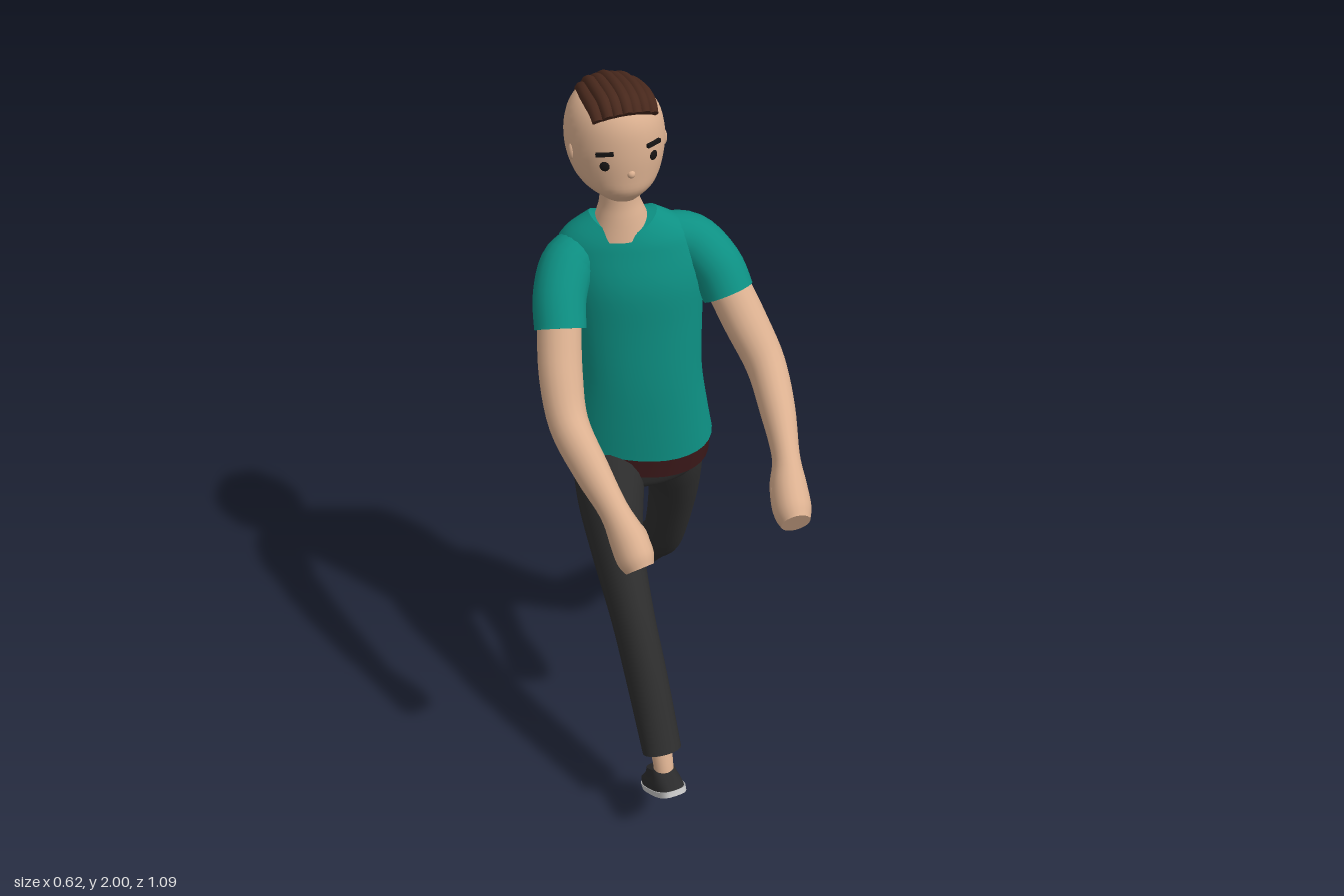
import * as THREE from 'three';

const mat = (name, color) => {
  const m = new THREE.MeshStandardMaterial({ color });
  m.name = name;
  return m;
};

// Component-wise Catmull-Rom resampling of section rows
function resample(rows, steps) {
  const out = [];
  for (let i = 0; i < rows.length - 1; i++) {
    const a = rows[Math.max(i - 1, 0)], b = rows[i], c = rows[i + 1], d = rows[Math.min(i + 2, rows.length - 1)];
    for (let s = 0; s < steps; s++) {
      const t = s / steps;
      out.push(b.map((_, k) => 0.5 * (2 * b[k] + (c[k] - a[k]) * t + (2 * a[k] - 5 * b[k] + 4 * c[k] - d[k]) * t * t
        + (3 * b[k] - a[k] - 3 * c[k] + d[k]) * t * t * t)));
    }
  }
  out.push(rows[rows.length - 1]);
  return out;
}

// Skin a list of rings (arrays of Vector3, counter-clockwise about the path), closing both ends
function loft(rings) {
  const n = rings[0].length, pos = [], idx = [];
  rings.forEach(r => r.forEach(p => pos.push(p.x, p.y, p.z)));
  for (let i = 0; i < rings.length - 1; i++) {
    for (let j = 0; j < n; j++) {
      const a = i * n + j, b = i * n + (j + 1) % n;
      idx.push(a, b, b + n, a, b + n, a + n);
    }
  }
  [[rings[0], true], [rings[rings.length - 1], false]].forEach(([ring, flip]) => {
    const base = pos.length / 3, c = new THREE.Vector3();
    ring.forEach(p => { pos.push(p.x, p.y, p.z); c.addScaledVector(p, 1 / n); });
    pos.push(c.x, c.y, c.z);
    for (let j = 0; j < n; j++) {
      const a = base + j, b = base + (j + 1) % n;
      idx.push(...(flip ? [b, a, base + n] : [a, b, base + n]));
    }
  });
  const g = new THREE.BufferGeometry();
  g.setAttribute('position', new THREE.Float32BufferAttribute(pos, 3));
  g.setIndex(idx);
  g.computeVertexNormals();
  return g;
}

// Limb: rows of [x, y, z, side radius, depth radius], rings square to the path
function limb(rows, ref = [1, 0, 0], steps = 5, n = 20) {
  const s = resample(rows, steps), P = s.map(r => new THREE.Vector3(r[0], r[1], r[2]));
  return loft(s.map((r, i) => {
    const t = P[Math.min(i + 1, P.length - 1)].clone().sub(P[Math.max(i - 1, 0)]).normalize();
    const u = new THREE.Vector3(...ref);
    u.addScaledVector(t, -u.dot(t)).normalize();
    const v = t.clone().cross(u);
    return Array.from({ length: n }, (_, j) => {
      const a = j / n * Math.PI * 2;
      return P[i].clone().addScaledVector(u, r[3] * Math.cos(a)).addScaledVector(v, r[4] * Math.sin(a));
    });
  }));
}

// Stack: rows of [y, centre x, centre z, half width, half depth, yaw, back-up tilt, front/back sag], rings level
function stack(rows, steps = 4, n = 36, power = 1) {
  const sgn = x => Math.sign(x) * Math.abs(x) ** power;
  return loft(resample(rows, steps).map(([y, cx, cz, rx, rz, w = 0, tilt = 0, sag = 0]) =>
    Array.from({ length: n }, (_, j) => {
      const t = j / n * Math.PI * 2, a = rx * sgn(Math.cos(t)), b = -rz * sgn(Math.sin(t));
      const z = a * Math.sin(w) + b * Math.cos(w);
      return new THREE.Vector3(cx + a * Math.cos(w) - b * Math.sin(w), y - tilt * z + sag * Math.cos(2 * t), cz + z);
    })));
}

export function createModel() {
  const skin = mat('skin', 0xdbb090), teal = mat('shirt teal', 0x0d9083), dark = mat('trouser charcoal', 0x2d2d2d),
    red = mat('belt maroon', 0x3a1819), brown = mat('hair brown', 0x48281c), shoeMat = mat('shoe grey', 0x2b2b2c),
    soleMat = mat('sole light grey', 0xc4c4c4), black = mat('eye black', 0x161414);
  const model = new THREE.Group();
  const add = (name, geo, m, parent = model) => {
    const mesh = new THREE.Mesh(geo, m);
    mesh.name = name;
    parent.add(mesh);
    return mesh;
  };
  const ball = (name, m, p, s, parent) => {
    const b = add(name, new THREE.SphereGeometry(1, 16, 12), m, parent);
    b.position.set(...p);
    b.scale.set(...s);
    return b;
  };

  // Shirt body, turned so its left side leads, with a dipped collar
  add('shirt', stack([
    [0.99, 0.02, -0.086, 0.2, 0.134, 0.38, 0.29, 0],
    [1.08, 0.015, -0.075, 0.184, 0.126, 0.36, 0.2, 0],
    [1.2, 0.01, -0.06, 0.166, 0.113, 0.34, 0.1, 0],
    [1.35, 0.005, -0.06, 0.169, 0.106, 0.33, 0, 0],
    [1.47, 0, -0.065, 0.177, 0.105, 0.32, 0, 0],
    [1.56, -0.01, -0.075, 0.178, 0.09, 0.3, 0, 0],
    [1.6, -0.015, -0.075, 0.15, 0.08, 0.28, 0, 0.008],
    [1.635, -0.025, -0.073, 0.084, 0.066, 0.25, 0, 0.018],
  ], 4, 36, 0.95), teal);

  // Belt and trouser seat
  add('belt', stack([
    [0.932, 0.02, -0.086, 0.192, 0.13, 0.38, 0.29],
    [0.992, 0.02, -0.086, 0.197, 0.132, 0.38, 0.29],
  ], 1, 36, 0.95), red);
  add('trouserSeat', stack([
    [0.825, 0.012, -0.07, 0.03, 0.05, 0, 0],
    [0.85, 0.015, -0.078, 0.1, 0.09, 0.1, 0.1],
    [0.89, 0.015, -0.085, 0.17, 0.122, 0.25, 0.2],
    [0.95, 0.02, -0.086, 0.192, 0.13, 0.38, 0.29],
  ], 4, 36, 0.95), dark);

  // Trouser legs: right one strides forward, left one trails
  add('rightTrouserLeg', limb([
    [-0.072, 0.9, -0.07, 0.1, 0.105], [-0.098, 0.82, 0, 0.087, 0.108], [-0.118, 0.72, 0.09, 0.069, 0.092],
    [-0.13, 0.59, 0.215, 0.057, 0.076], [-0.131, 0.45, 0.308, 0.055, 0.068], [-0.132, 0.268, 0.415, 0.053, 0.051],
  ]), dark);
  add('leftTrouserLeg', limb([
    [0.105, 0.91, -0.095, 0.095, 0.122], [0.126, 0.82, -0.108, 0.086, 0.108], [0.147, 0.69, -0.132, 0.067, 0.082],
    [0.157, 0.47, -0.208, 0.057, 0.066], [0.162, 0.36, -0.298, 0.056, 0.06], [0.164, 0.205, -0.425, 0.054, 0.053],
  ]), dark);
  add('rightAnkle', limb([[-0.133, 0.3, 0.4, 0.032, 0.032], [-0.134, 0.22, 0.43, 0.027, 0.027], [-0.135, 0.15, 0.44, 0.03, 0.03]]), skin);
  add('leftAnkle', limb([[0.163, 0.22, -0.41, 0.034, 0.034], [0.163, 0.17, -0.465, 0.028, 0.028], [0.163, 0.11, -0.49, 0.03, 0.03]]), skin);

  // Shoes: right heel planted, left heel raised
  [['right', [-0.135, 0.137, 0.438], -0.6, 0.01], ['left', [0.16, 0.072, -0.475], 0.74, -0.045]].forEach(([side, p, tilt, ankle]) => {
    const shoe = new THREE.Group();
    shoe.name = side + 'Shoe';
    shoe.position.set(...p);
    shoe.rotation.x = tilt;
    model.add(shoe);
    add('sole', stack([[0, 0, 0, 0.045, 0.098], [0.016, 0, 0, 0.046, 0.1]], 1, 28, 0.65), soleMat, shoe);
    add('shoeUpper', stack([
      [0.016, 0, 0, 0.044, 0.098], [0.032, 0, -0.004, 0.043, 0.09],
      [0.05, 0, ankle * 0.8, 0.037, 0.062], [0.07, 0, ankle, 0.033, 0.042],
    ], 3, 28, 0.75), shoeMat, shoe);
  });

  // Sleeves
  add('leftSleeve', limb([
    [0.06, 1.575, -0.055, 0.055, 0.055], [0.14, 1.55, -0.038, 0.067, 0.067],
    [0.19, 1.49, 0.01, 0.068, 0.068], [0.209, 1.425, 0.05, 0.066, 0.066],
  ], [1, 1, 0]), teal);
  add('rightSleeve', limb([
    [-0.085, 1.56, -0.1, 0.055, 0.055], [-0.16, 1.53, -0.09, 0.068, 0.068],
    [-0.207, 1.47, -0.045, 0.067, 0.067], [-0.226, 1.4, 0, 0.065, 0.065],
  ], [-1, 1, 0]), teal);

  // Bare arms running into closed hands
  add('leftArm', limb([
    [0.208, 1.45, 0.035, 0.056, 0.056], [0.235, 1.36, 0.1, 0.056, 0.056], [0.258, 1.27, 0.175, 0.051, 0.056],
    [0.24, 1.205, 0.28, 0.045, 0.052], [0.212, 1.14, 0.385, 0.035, 0.043], [0.192, 1.095, 0.44, 0.046, 0.055],
    [0.176, 1.062, 0.495, 0.048, 0.058], [0.17, 1.045, 0.527, 0.037, 0.045],
  ], [1, 0.3, 0]), skin);
  add('rightArm', limb([
    [-0.225, 1.42, -0.01, 0.055, 0.055], [-0.25, 1.31, 0.055, 0.055, 0.055], [-0.262, 1.21, 0.13, 0.049, 0.053],
    [-0.25, 1.14, 0.245, 0.042, 0.05], [-0.235, 1.085, 0.345, 0.035, 0.041], [-0.222, 1.035, 0.4, 0.044, 0.052],
    [-0.217, 0.998, 0.435, 0.045, 0.053], [-0.214, 0.977, 0.456, 0.035, 0.04],
  ], [-1, 0.3, 0]), skin);
  ball('leftThumb', skin, [0.153, 1.085, 0.465], [0.016, 0.018, 0.038]).rotation.x = 0.5;
  ball('rightThumb', skin, [-0.19, 1.035, 0.415], [0.016, 0.018, 0.038]).rotation.x = 0.7;

  // Neck
  add('neck', stack([
    [1.6, -0.03, -0.07, 0.082, 0.07], [1.655, -0.033, -0.067, 0.062, 0.056],
    [1.7, -0.037, -0.065, 0.049, 0.046], [1.78, -0.042, -0.065, 0.047, 0.045],
  ]), skin);

  // Head, turned slightly to its right
  const head = new THREE.Group();
  head.name = 'head';
  head.position.set(-0.045, 1.86, -0.073);
  head.rotation.y = -0.09;
  model.add(head);
  add('skull', stack([
    [-0.132, 0, 0.04, 0.045, 0.055], [-0.1, 0, 0.022, 0.086, 0.1], [-0.06, 0, 0.008, 0.109, 0.119],
    [0, 0, 0, 0.12, 0.128], [0.06, 0, -0.004, 0.111, 0.123], [0.1, 0, -0.007, 0.084, 0.1], [0.122, 0, -0.008, 0.038, 0.05],
  ], 4, 36), skin, head);
  ball('nose', skin, [0, -0.045, 0.125], [0.01, 0.01, 0.009], head);
  for (const s of [-1, 1]) {
    ball('ear', skin, [s * 0.114, -0.014, 0.026], [0.009, 0.021, 0.011], head);
    const eye = ball('eye', black, [s * 0.06, -0.017 + s * 0.005, 0.111], [0.012, 0.012, 0.004], head);
    eye.rotation.y = s * 0.5;
    const brow = add('eyebrow', new THREE.BoxGeometry(0.042, 0.009, 0.008), black, head);
    brow.position.set(s * 0.06, 0.014 + s * 0.005, 0.112);
    brow.rotation.set(0, s * 0.5, -s * 0.05 + 0.08);
  }

  // Swept-back hair strip made of parallel strands, narrowing at the nape
  const sweep = [[0.102, 0.094], [0.07, 0.117], [0, 0.123], [-0.075, 0.109], [-0.118, 0.066], [-0.124, -0.015]];
  for (let i = 0; i < 7; i++) {
    const x = (i - 3) * 0.022, k = Math.sqrt(1 - (x / 0.125) ** 2);
    add('hairStrand', limb(sweep.map(([z, y], j) => {
      const narrow = j < 3 ? 1 : 1 - (j - 2) * 0.14, r = j === 0 ? 0.014 : j === 5 ? 0.009 : 0.017;
      const f = k + (1 - k) * (1 - narrow);
      return [x * narrow, y * f, z * f, r, r + (i % 2) * 0.003];
    }), [1, 0, 0], 5, 12), brown, head);
  }
  return model;
}
